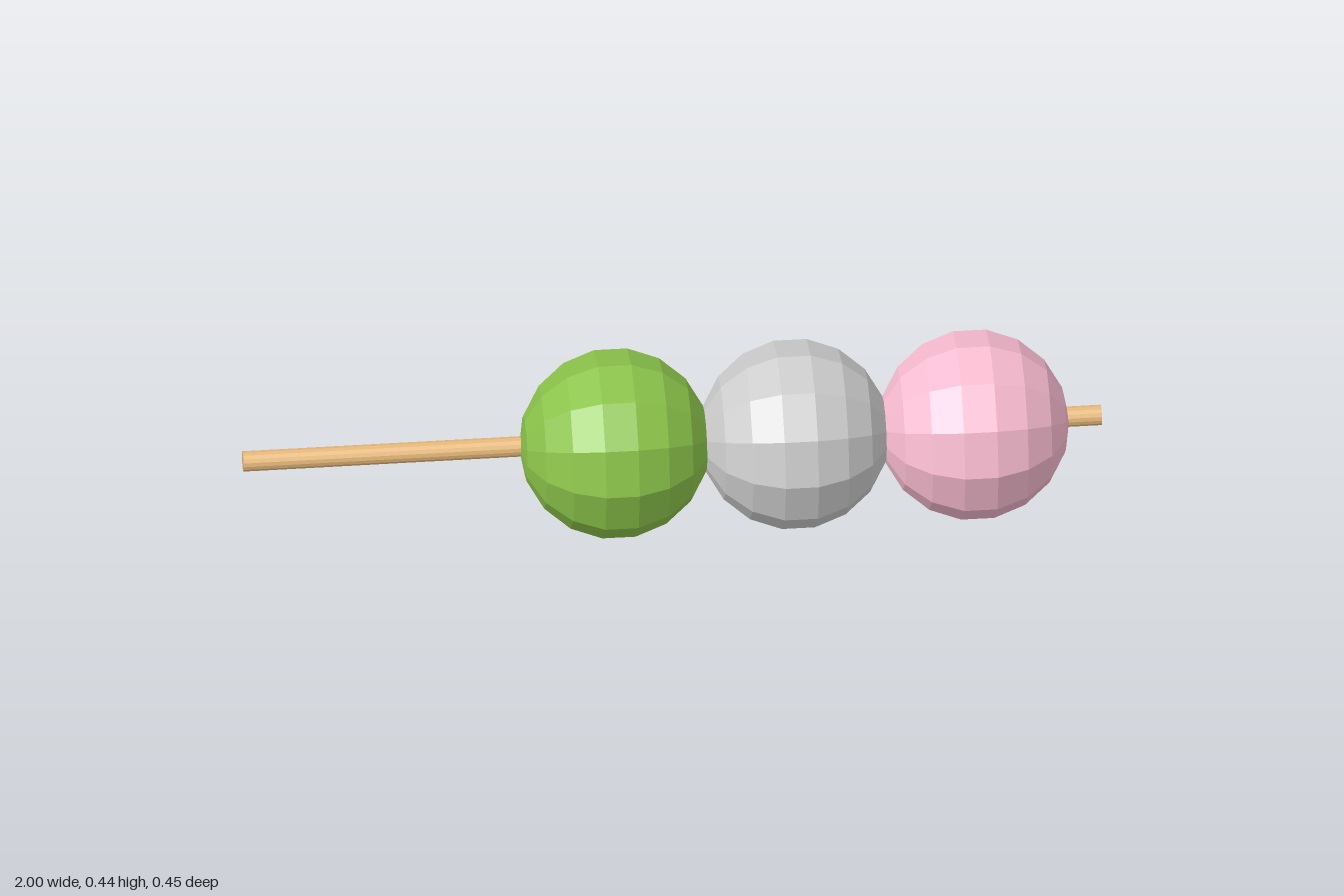
import * as THREE from 'three';

const Y = 0.222; // height of the skewer's axis

export function createModel() {
  const group = new THREE.Group();

  function addPart(name, geometry, color, position, yaw, pitch) {
    const mesh = new THREE.Mesh(
      geometry.rotateZ(-Math.PI / 2), // lay the poles along x
      new THREE.MeshStandardMaterial({ color, flatShading: true })
    );
    mesh.name = name;
    mesh.position.set(...position);
    mesh.rotation.set(0, yaw, pitch);
    group.add(mesh);
  }

  // three faceted dumplings, drifting slightly backwards along the stick
  const dumplings = [
    ['greenDumpling', 0x8bc34a, -0.134, 0.003],
    ['whiteDumpling', 0xcccccc, 0.284, -0.001],
    ['pinkDumpling', 0xf8bbd0, 0.702, -0.005],
  ];
  for (const [name, color, x, z] of dumplings) {
    addPart(name, new THREE.SphereGeometry(0.223, 12, 9), color, [x, Y, z], 0.009, 0);
  }

  // wooden stick running through all of them
  addPart('stick', new THREE.CylinderGeometry(0.024, 0.024, 2, 16), 0xe6b87a,
    [0, Y + 0.002, -0.0045], 0.0085, 0.003);

  return group;
}
